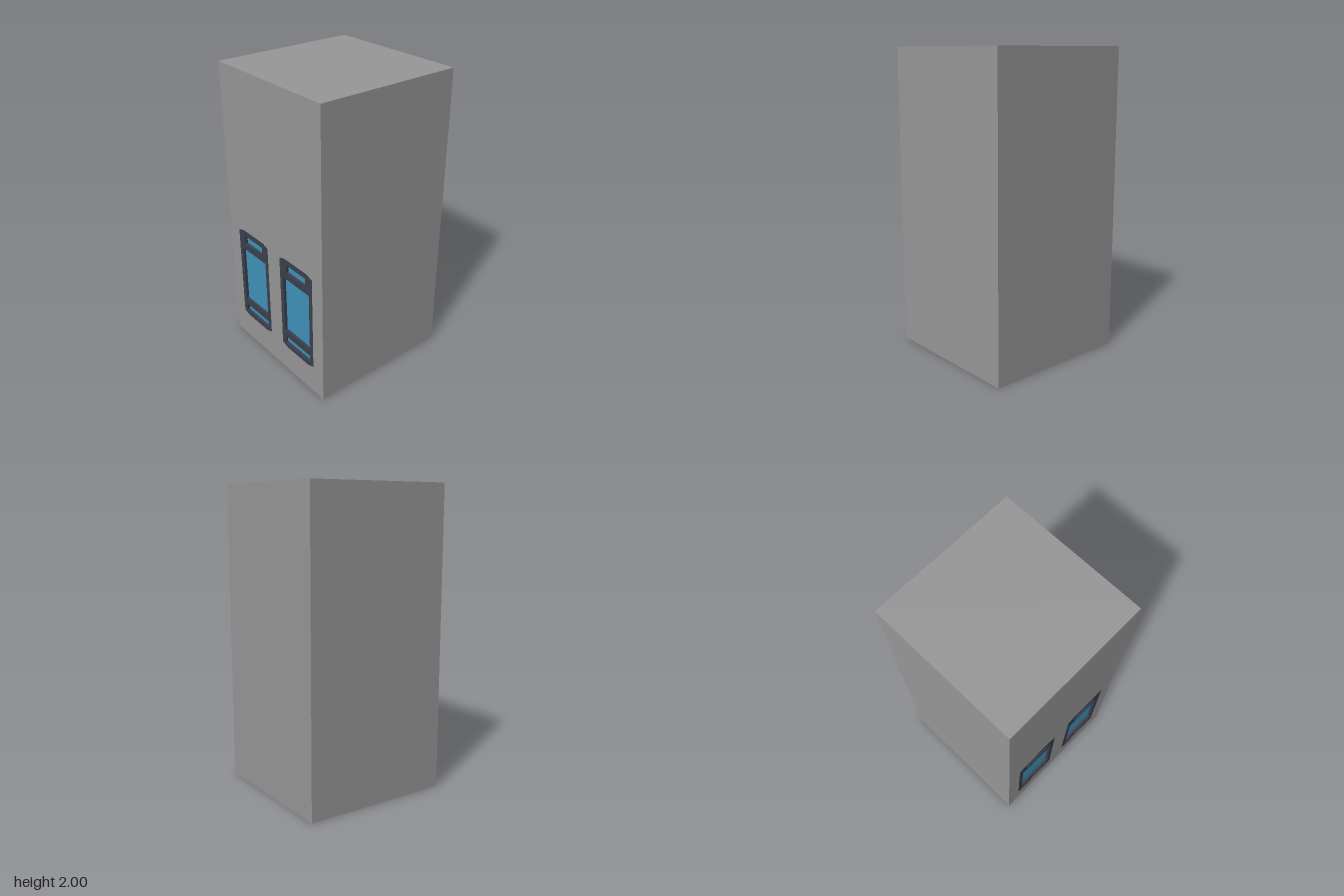
import * as THREE from 'three';

const DEPTH = 0.025; // thickness of the window wall and frames
const WINDOW_Z = [-0.233, 0.233];

// Window outline with shallow clipped corners, centred on z
function outline(PathType, z) {
  const w = 0.167, c = 0.053, y0 = 0.185, y1 = 0.885, k = 0.017;
  const points = [
    [-w, y0 + k], [-w + c, y0], [w - c, y0], [w, y0 + k],
    [w, y1 - k], [w - c, y1], [-w + c, y1], [-w, y1 - k],
  ].map(([u, v]) => new THREE.Vector2(z + u, v));
  return new PathType(points);
}

function rectangle(PathType, z, halfWidth, y0, y1) {
  return new PathType([
    new THREE.Vector2(z - halfWidth, y0), new THREE.Vector2(z + halfWidth, y0),
    new THREE.Vector2(z + halfWidth, y1), new THREE.Vector2(z - halfWidth, y1),
  ]);
}

// Extrude a (z, y) shape so that its outer face lies on x = -0.5
function sidePlate(shape, material, name) {
  const geometry = new THREE.ExtrudeGeometry(shape, { depth: DEPTH, bevelEnabled: false });
  geometry.rotateY(-Math.PI / 2).translate(-0.5 + DEPTH, 0, 0);
  const mesh = new THREE.Mesh(geometry, material);
  mesh.name = name;
  return mesh;
}

function material(name, color) {
  const m = new THREE.MeshStandardMaterial({ color });
  m.name = name;
  return m;
}

export function createModel() {
  const group = new THREE.Group();
  group.name = 'tower';
  const wall = material('wall grey', 0x989898);
  const frame = material('frame charcoal', 0x3c404e);
  const glass = material('glass blue', 0x4093bb);

  // Plain block behind the window wall
  const body = new THREE.Mesh(new THREE.BoxGeometry(1 - DEPTH, 2, 1), wall);
  body.name = 'body';
  body.position.set(DEPTH / 2, 1, 0);
  group.add(body);

  // Wall with two window openings
  const wallShape = rectangle(THREE.Shape, 0, 0.5, 0, 2);
  for (const z of WINDOW_Z) wallShape.holes.push(outline(THREE.Path, z));
  group.add(sidePlate(wallShape, wall, 'windowWall'));

  // Frames with a small top light, a tall pane and a low pane
  const panes = [[0.1, 0.785, 0.845], [0.133, 0.32, 0.737], [0.133, 0.218, 0.272]];
  for (const z of WINDOW_Z) {
    const win = new THREE.Group();
    win.name = 'window';
    const frameShape = outline(THREE.Shape, z);
    for (const [w, y0, y1] of panes) {
      frameShape.holes.push(rectangle(THREE.Path, z, w, y0, y1));
      const pane = new THREE.Mesh(new THREE.BoxGeometry(0.006, y1 - y0, 2 * w), glass);
      pane.name = 'pane';
      pane.position.set(-0.5 + DEPTH - 0.003, (y0 + y1) / 2, z);
      win.add(pane);
    }
    win.add(sidePlate(frameShape, frame, 'windowFrame'));
    group.add(win);
  }
  return group;
}
